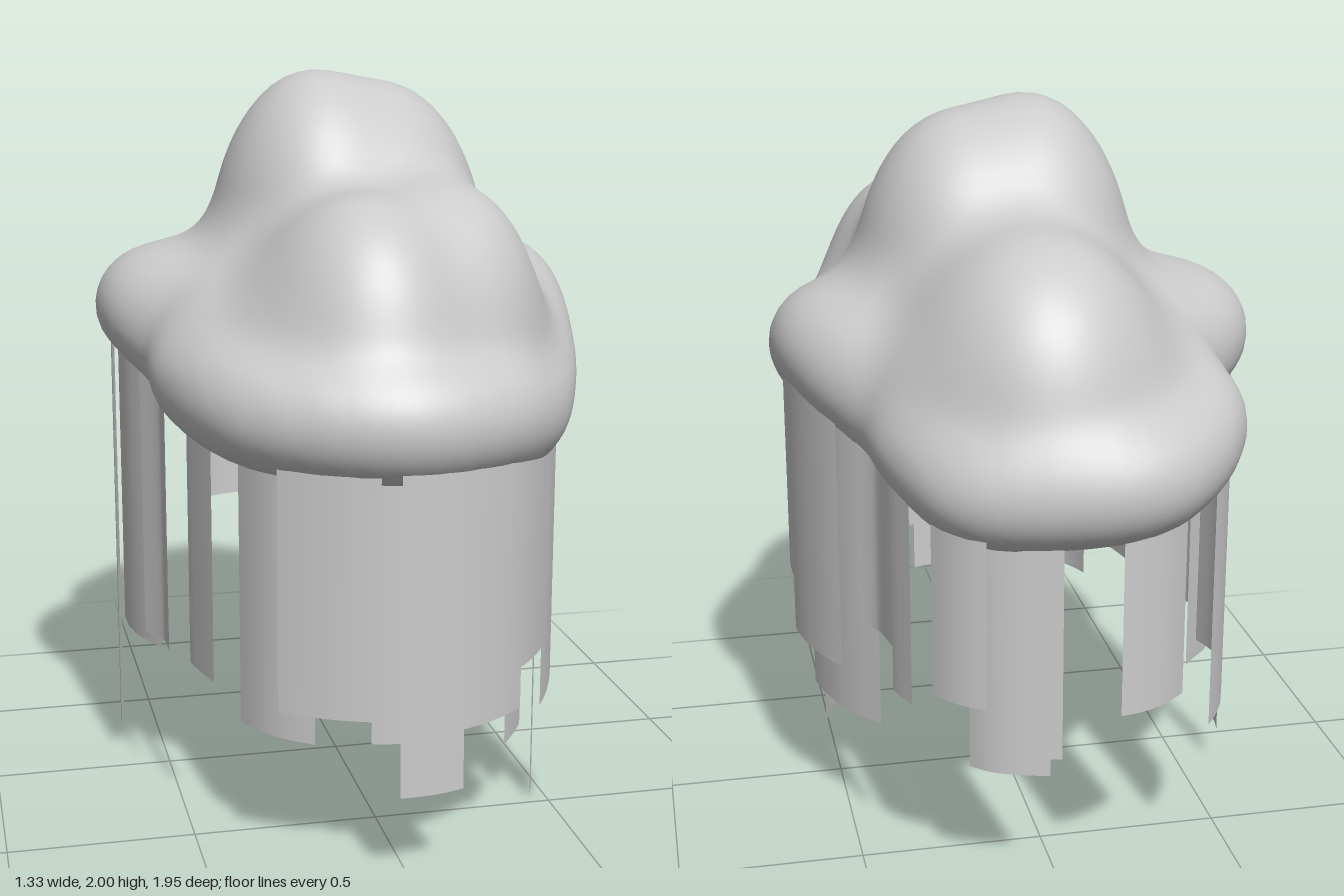
import * as THREE from 'three';
import { mergeVertices } from 'three/addons/utils/BufferGeometryUtils.js';

const material = new THREE.MeshStandardMaterial({ color: 0xcccccc, side: THREE.DoubleSide });

// Centre line of the puffy rim around the cloud, from the front by the left to the back
const RIM_RADIUS = 0.16;
const rim = new THREE.CatmullRomCurve3([
  [-0.03, 1.19, 0.81], [0.19, 1.18, 0.74], [0.34, 1.15, 0.55], [0.46, 1.23, 0.25],
  [0.50, 1.35, -0.06], [0.45, 1.33, -0.24], [0.33, 1.25, -0.42], [0.29, 1.21, -0.58],
  [0.20, 1.16, -0.74], [0.05, 1.16, -0.80], [-0.13, 1.17, -0.81], [-0.23, 1.18, -0.76],
  [-0.37, 1.22, -0.55], [-0.34, 1.28, -0.36], [-0.50, 1.345, -0.14], [-0.50, 1.345, 0.01],
  [-0.42, 1.27, 0.20], [-0.41, 1.23, 0.38], [-0.30, 1.20, 0.66],
].map((p) => new THREE.Vector3(...p)), true);
const rimPoints = rim.getSpacedPoints(130);

// Ellipsoid puffs: centre and radii
const puffs = [
  [0, 1.36, 0, 0.52, 0.26, 0.76],          // body
  [-0.06, 1.45, 0, 0.30, 0.55, 0.39],      // main dome, right half
  [0.14, 1.43, -0.03, 0.29, 0.53, 0.38],   // main dome, left half
  [0.02, 1.34, -0.48, 0.33, 0.395, 0.40],  // back dome
  [-0.04, 1.38, 0.49, 0.27, 0.335, 0.345], // front dome
  [0.21, 1.39, 0.36, 0.24, 0.335, 0.32],   // front shoulder
];

function ellipsoidDistance(p, [cx, cy, cz, rx, ry, rz]) {
  const x = (p.x - cx) / rx, y = (p.y - cy) / ry, z = (p.z - cz) / rz;
  const k0 = Math.hypot(x, y, z);
  const k1 = Math.hypot(x / rx, y / ry, z / rz);
  return k1 < 1e-6 ? -Math.min(rx, ry, rz) : k0 * (k0 - 1) / k1;
}

function smoothMin(a, b, k) {
  const h = Math.max(k - Math.abs(a - b), 0) / k;
  return Math.min(a, b) - h * h * k * 0.25;
}

function cloudDistance(p) {
  let nearest = Infinity;
  for (const q of rimPoints) nearest = Math.min(nearest, p.distanceToSquared(q));
  let d = Math.sqrt(nearest) - RIM_RADIUS;
  for (const puff of puffs) d = smoothMin(d, ellipsoidDistance(p, puff), 0.12);
  return d;
}

// A sphere whose vertices are moved along rays onto the blended puffs
function cloudGeometry() {
  let geo = new THREE.IcosahedronGeometry(1, 24);
  geo.deleteAttribute('uv');
  geo.deleteAttribute('normal');
  geo = mergeVertices(geo, 1e-4);
  const centre = new THREE.Vector3(0, 1.3, 0);
  const stretch = new THREE.Vector3(0.66, 0.5, 0.97);
  const pos = geo.attributes.position;
  const dir = new THREE.Vector3(), p = new THREE.Vector3();
  const distanceAt = (r) => cloudDistance(p.copy(centre).addScaledVector(dir, r));
  for (let i = 0; i < pos.count; i++) {
    dir.fromBufferAttribute(pos, i).multiply(stretch).normalize();
    let outer = 1.2;
    while (outer > 0.04 && distanceAt(outer - 0.03) > 0) outer -= 0.03;
    let inner = outer - 0.03;
    for (let n = 0; n < 10; n++) {
      const mid = (inner + outer) / 2;
      if (distanceAt(mid) > 0) outer = mid; else inner = mid;
    }
    p.copy(centre).addScaledVector(dir, inner);
    pos.setXYZ(i, p.x, p.y, p.z);
  }
  geo.computeVertexNormals();
  return geo;
}

// Point beside the rim, moved outwards by the given offset
function besideRim(u, offset) {
  const w = ((u % 1) + 1) % 1;
  const t = rim.getTangentAt(w);
  const out = new THREE.Vector3(-t.z, 0, t.x).normalize();
  return rim.getPointAt(w).addScaledVector(out, offset);
}

const onSide = {
  left: (p) => p.x > 0.1, right: (p) => p.x < -0.1,
  front: (p) => p.z > 0.4, back: (p) => p.z < -0.5,
};

// Rim parameter where the given side reaches a z (left, right) or x (front, back)
const STEPS = 500;
function findOnRim(side, value, offset) {
  const axis = side === 'left' || side === 'right' ? 'z' : 'x';
  let best = 0, error = Infinity;
  for (let i = 0; i < STEPS; i++) {
    const p = besideRim(i / STEPS, offset);
    const e = Math.abs(p[axis] - value);
    if (onSide[side](p) && e < error) { error = e; best = i / STEPS; }
  }
  return best;
}

// A thin curved sheet of rain hanging from inside the rim
function rainGeometry(side, from, to, bottom, offset) {
  const u0 = findOnRim(side, from, offset);
  let span = findOnRim(side, to, offset) - u0;
  span -= Math.round(span);
  const geo = new THREE.PlaneGeometry(1, 1, 8, 1);
  const pos = geo.attributes.position;
  for (let i = 0; i < pos.count; i++) {
    const p = besideRim(u0 + span * (pos.getX(i) + 0.5), offset);
    pos.setXYZ(i, p.x, pos.getY(i) > 0 ? p.y : bottom, p.z);
  }
  geo.computeVertexNormals();
  return geo;
}

// Side, start, end, bottom height, offset from the rim line
const rain = [
  ['left', 0.13, -0.07, 0.67, 0.125], ['left', -0.07, -0.36, 0.51, 0.125],
  ['left', 0.39, -0.05, 0.48, 0.09], ['left', 0.46, 0.32, 0.00, 0.065],
  ['left', 0.63, 0.39, 0.34, 0.11], ['left', 0.70, 0.57, 0.27, 0.05],
  ['left', 0.80, 0.62, 0.52, 0.12], ['left', -0.10, -0.41, 0.35, 0.08],
  ['left', -0.41, -0.58, 0.66, 0.12], ['left', -0.58, -0.67, 0.535, 0.12],
  ['left', -0.76, -0.87, 0.60, 0.12],
  ['front', -0.04, 0.13, 0.25, 0.12], ['front', -0.32, -0.09, 0.45, 0.11],
  ['front', -0.10, -0.03, 0.375, 0.07], ['front', 0.12, 0.31, 0.41, 0.12],
  ['front', -0.38, -0.22, 0.335, 0.015],
  ['right', -0.08, -0.18, 0.10, 0.12], ['right', 0.17, -0.36, 0.42, 0.10],
  ['right', 0.32, 0.14, 0.46, 0.12], ['right', 0.52, 0.36, 0.44, 0.07],
  ['right', -0.41, -0.55, 0.52, 0.12], ['right', -0.55, -0.62, 0.455, 0.12],
  ['right', -0.62, -0.75, 0.435, 0.12],
  ['back', -0.31, -0.12, 0.56, 0.08], ['back', 0.03, 0.14, 0.45, 0.08],
  ['back', 0.05, 0.24, 0.37, 0.02],
];

export function createModel() {
  const model = new THREE.Group();
  model.name = 'rainCloud';

  const cloud = new THREE.Mesh(cloudGeometry(), material);
  cloud.name = 'cloud';
  model.add(cloud);

  const curtain = new THREE.Group();
  curtain.name = 'rainCurtain';
  for (const sheet of rain) {
    const mesh = new THREE.Mesh(rainGeometry(...sheet), material);
    mesh.name = sheet[0] + 'RainSheet';
    curtain.add(mesh);
  }
  model.add(curtain);
  return model;
}
